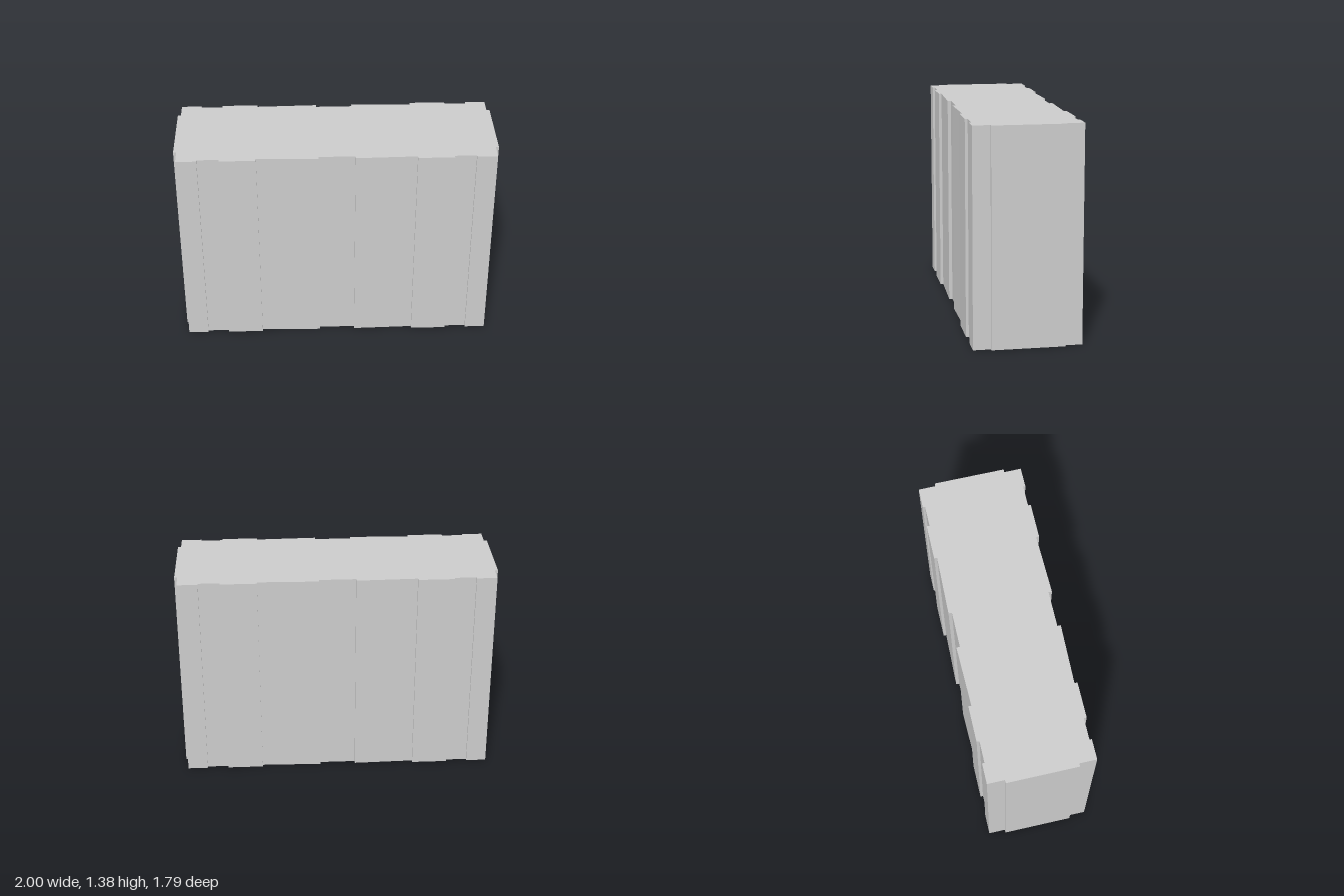
import * as THREE from 'three';

const HEIGHT = 1.38;
const TURN = -0.675; // the block stands at an angle to the axes

// One quarter of the stepped footprint: [along, across] from the middle
// of a long wall, round the corner, to the middle of an end wall
const QUARTER = [
  [0.117, 0.312], [0.117, 0.334],  // recessed centre bay
  [0.508, 0.325], [0.508, 0.344],  // slightly tapering wide bay
  [0.74, 0.344], [0.74, 0.326],    // raised pier
  [0.879, 0.326], [0.879, 0.341],  // narrow recess
  [1.01, 0.341],                   // corner
  [1.01, 0.23], [1.03, 0.23],      // projecting end bay
];

function footprint() {
  const mirror = (sx, sy) => QUARTER.map(([x, y]) => new THREE.Vector2(x * sx, y * sy));
  return new THREE.Shape([
    ...mirror(1, 1),
    ...mirror(1, -1).reverse(),
    ...mirror(-1, -1),
    ...mirror(-1, 1).reverse(),
  ]);
}

export function createModel() {
  const model = new THREE.Group();
  model.name = 'building';

  // Plain flat-topped block with stepped walls
  const geometry = new THREE.ExtrudeGeometry(footprint(), { depth: HEIGHT, bevelEnabled: false });
  geometry.rotateX(-Math.PI / 2);
  const block = new THREE.Mesh(
    geometry,
    new THREE.MeshStandardMaterial({ color: 0xcccccc, flatShading: true }),
  );
  block.name = 'buildingBlock';
  block.rotation.y = TURN;
  model.add(block);

  return model;
}
